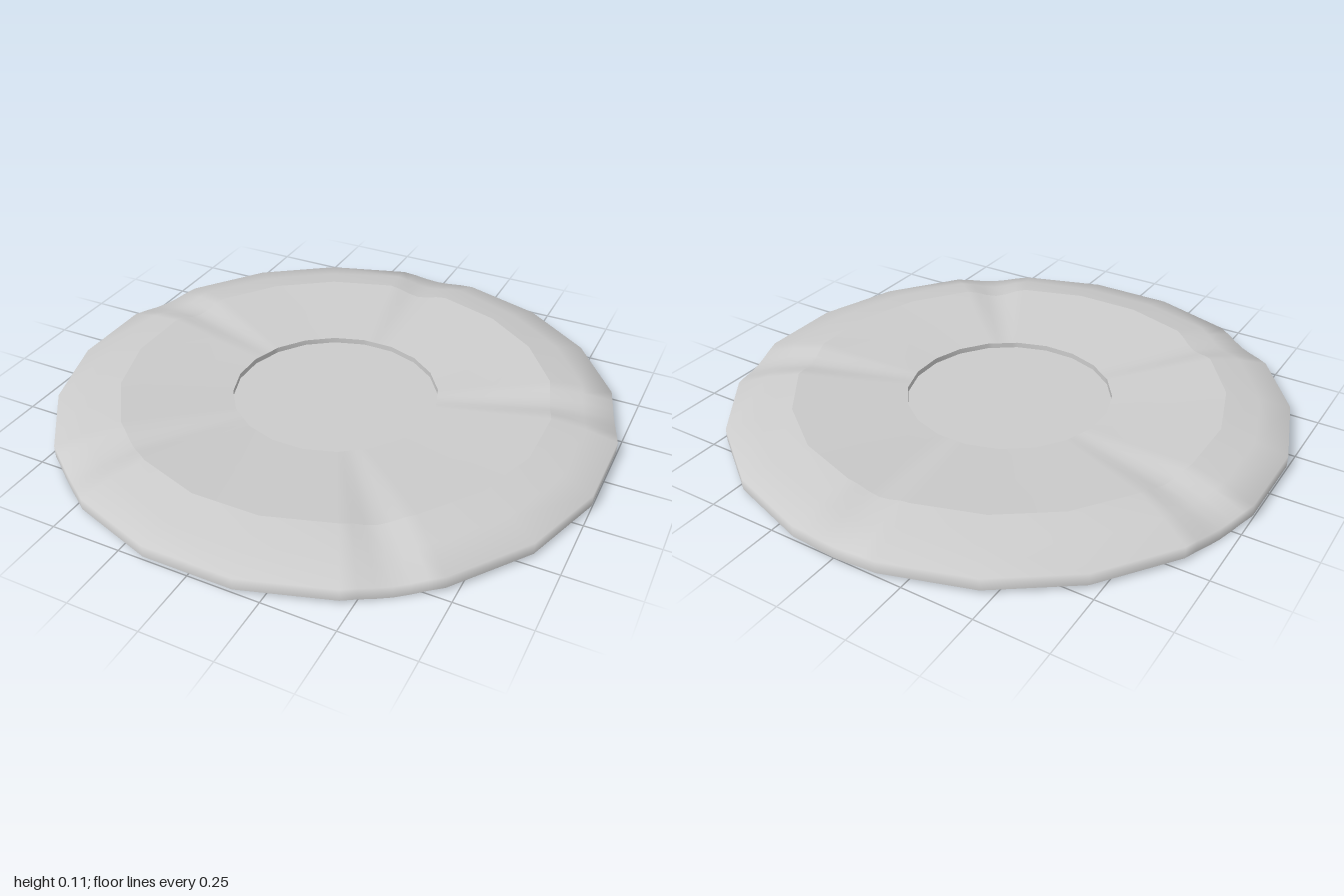
import * as THREE from 'three';

const SIDES = 20, STEPS = 6, RADIUS = 1.0125;
const rad = THREE.MathUtils.degToRad;

// Columns around the disc: unit position, groove strength and lip strength
function makeColumns() {
  const corner = k => {
    const a = rad(-99 + (360 / SIDES) * k);
    return new THREE.Vector2(Math.cos(a), Math.sin(a));
  };
  const columns = [];
  for (let k = 0; k < SIDES; k++) {
    const grooved = k % 4 === 0;
    const lip = grooved || k % 4 === 1 ? 1 : 0;
    const n = grooved ? STEPS : 1;
    for (let s = 0; s < n; s++) {
      const t = s / n;
      const groove = grooved ? (1 - Math.cos(2 * Math.PI * t)) / 2 : 0;
      columns.push({ p: corner(k).lerp(corner(k + 1), t), groove, lip });
    }
  }
  return columns;
}

// Skin a profile of [radius, height, groove depth, lip height] around the columns
function sweep(profile) {
  const columns = makeColumns(), n = columns.length;
  const pos = [], index = [];
  for (const [r, y, depth, lip] of profile)
    for (const c of columns)
      pos.push(c.p.x * r, y - depth * c.groove + lip * c.lip, c.p.y * r);
  for (let i = 0; i < profile.length - 1; i++)
    for (let j = 0; j < n; j++) {
      const k = (j + 1) % n;
      const a = i * n + j, b = i * n + k, c = a + n, d = b + n;
      if (profile[i][0] > 0) index.push(a, b, c);
      index.push(b, d, c);
    }
  const g = new THREE.BufferGeometry();
  g.setAttribute('position', new THREE.Float32BufferAttribute(pos, 3));
  g.setIndex(index);
  g.computeVertexNormals();
  return g;
}

export function createModel() {
  const group = new THREE.Group();
  group.name = 'groovedDisc';
  const material = new THREE.MeshStandardMaterial({ color: 0xcccccc, side: THREE.DoubleSide });

  // Thin pressed sheet; each zone is smooth within itself and meets the next at a crease
  const zones = {
    centre: [[0, 0.05, 0, 0], [0.374, 0.05, 0, 0]],
    centreStep: [[0.374, 0.05, 0, 0], [0.374, 0.07, 0, 0]],
    dishedPlate: [
      [0.374, 0.07, 0, 0],
      [0.58, 0.088, 0.012, 0],
      [0.78, 0.106, 0.024, 0],
    ],
    slopingRim: [
      [0.78, 0.106, 0.024, 0],
      [0.9, 0.082, 0.021, 0.006],
      [RADIUS, 0.056, 0.013, 0],
      [RADIUS, 0.013, 0.013, 0],
    ],
  };
  for (const [name, profile] of Object.entries(zones)) {
    const mesh = new THREE.Mesh(sweep(profile), material);
    mesh.name = name;
    group.add(mesh);
  }
  return group;
}
